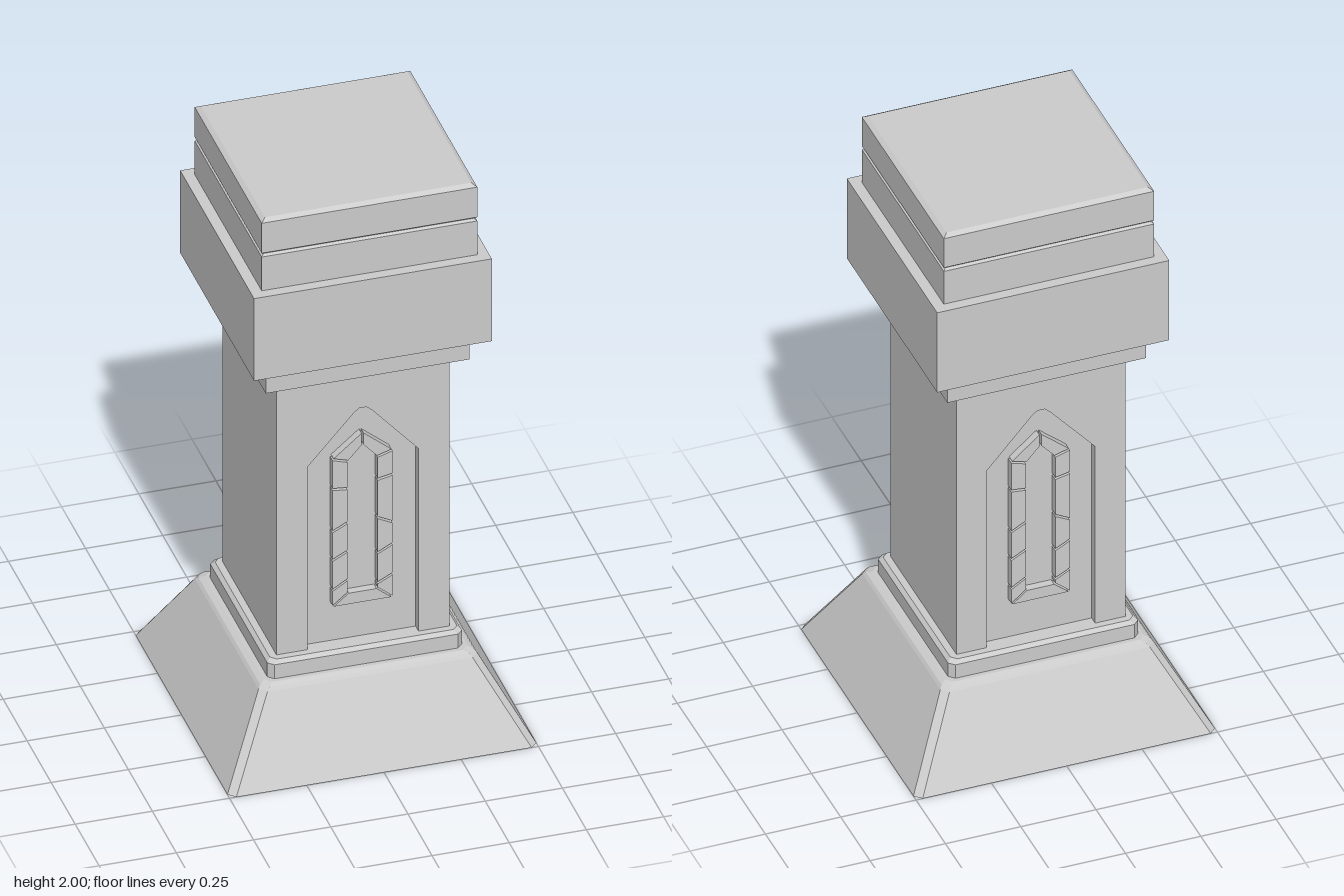
import * as THREE from 'three';

const material = new THREE.MeshStandardMaterial({ color: 0xcccccc, flatShading: true });

// Square ring with optionally cut corners, counter-clockwise seen from above
function ring(y, h, c) {
  const pts = [];
  for (let k = 0; k < 4; k++) {
    const corner = c > 0 ? [[h, h - c], [h - c, h]] : [[h, h]];
    for (const [x, z] of corner) {
      const a = [[x, z], [-z, x], [-x, -z], [z, -x]][k];
      pts.push(new THREE.Vector3(a[0], y, -a[1]));
    }
  }
  return pts;
}

// Solid lofted through [y, halfWidth] levels
function tier(name, levels, cut = 0) {
  const rings = levels.map(([y, h]) => ring(y, h, cut));
  const n = rings[0].length;
  const tris = [];
  for (let r = 0; r + 1 < rings.length; r++) {
    for (let i = 0; i < n; i++) {
      const j = (i + 1) % n, lo = rings[r], hi = rings[r + 1];
      tris.push(lo[i], lo[j], hi[j], lo[i], hi[j], hi[i]);
    }
  }
  const first = rings[0], last = rings[rings.length - 1];
  for (let i = 1; i + 1 < n; i++) {
    tris.push(last[0], last[i], last[i + 1], first[0], first[i + 1], first[i]);
  }
  const geo = new THREE.BufferGeometry().setFromPoints(tris);
  geo.computeVertexNormals();
  const mesh = new THREE.Mesh(geo, material);
  mesh.name = name;
  return mesh;
}

// Flat outline extruded forward from z
function slab(name, points, z, depth) {
  const shape = new THREE.Shape(points.map(([x, y]) => new THREE.Vector2(x, y)));
  const geo = new THREE.ExtrudeGeometry(shape, { depth, bevelEnabled: false });
  geo.translate(0, 0, z);
  const mesh = new THREE.Mesh(geo, material);
  mesh.name = name;
  return mesh;
}

const HALF = 0.28, NICHE_Z = 0.25, BOTTOM = 0.34, TOP = 1.36;

// One decorated face: wall with pointed niche, and a stone window surround inside it
function nicheFace(name) {
  const face = new THREE.Group();
  face.name = name;
  face.add(slab('nicheWall', [
    [-HALF, BOTTOM], [-0.18, BOTTOM], [-0.18, 1.02], [-0.03, 1.19], [-0.012, 1.205], [0.012, 1.205],
    [0.03, 1.19], [0.18, 1.02], [0.18, BOTTOM], [HALF, BOTTOM], [HALF, TOP], [-HALF, TOP],
  ], NICHE_Z, HALF - NICHE_Z));

  // Joints of the surround: outer point, inner point
  const O = 0.097, I = 0.049;
  const joints = [
    [-O, 0.49, -I, 0.53], [O, 0.49, I, 0.53],
    [O, 0.575, I, 0.55], [O, 0.685, I, 0.66], [O, 0.765, I, 0.79], [O, 0.94, I, 0.93],
    [O, 1.03, I, 1.015], [0, 1.112, 0, 1.07], [-O, 1.03, -I, 1.015],
    [-O, 0.92, -I, 0.915], [-O, 0.765, -I, 0.79], [-O, 0.66, -I, 0.685], [-O, 0.55, -I, 0.58],
  ];
  const toward = (ax, ay, bx, by) => {
    const t = 0.004 / Math.hypot(bx - ax, by - ay);
    return [ax + (bx - ax) * t, ay + (by - ay) * t];
  };
  joints.forEach((a, k) => {
    const b = joints[(k + 1) % joints.length];
    face.add(slab('surroundStone' + (k + 1), [
      toward(a[0], a[1], b[0], b[1]), toward(b[0], b[1], a[0], a[1]),
      toward(b[2], b[3], a[2], a[3]), toward(a[2], a[3], b[2], b[3]),
    ], NICHE_Z - 0.005, 0.032));
  });
  return face;
}

export function createModel() {
  const model = new THREE.Group();
  model.name = 'stonePillar';

  // Splayed foot and plinth with cut corners
  model.add(tier('base', [[0, 0.5], [0.27, 0.354], [0.28, 0.346], [0.287, 0.33]], 0.022));
  model.add(tier('plinth', [[0.28, 0.315], [0.338, 0.315], [0.35, 0.303]], 0.018));

  // Shaft, with niches on front and back
  const core = new THREE.Mesh(new THREE.BoxGeometry(HALF * 2, TOP - BOTTOM, NICHE_Z * 2), material);
  core.position.y = (TOP + BOTTOM) / 2;
  core.name = 'shaftCore';
  model.add(core);
  const front = nicheFace('frontFace');
  const back = nicheFace('backFace');
  back.rotation.y = Math.PI;
  model.add(front, back);

  // Stacked head
  model.add(tier('collar', [[1.35, 0.33], [1.45, 0.33]]));
  model.add(tier('headBlock', [[1.44, 0.385], [1.742, 0.385]]));
  model.add(tier('lowerCap', [[1.735, 0.349], [1.866, 0.349], [1.873, 0.34]]));
  model.add(tier('upperCap', [[1.872, 0.34], [1.88, 0.349], [1.99, 0.349], [2, 0.334]]));
  return model;
}
